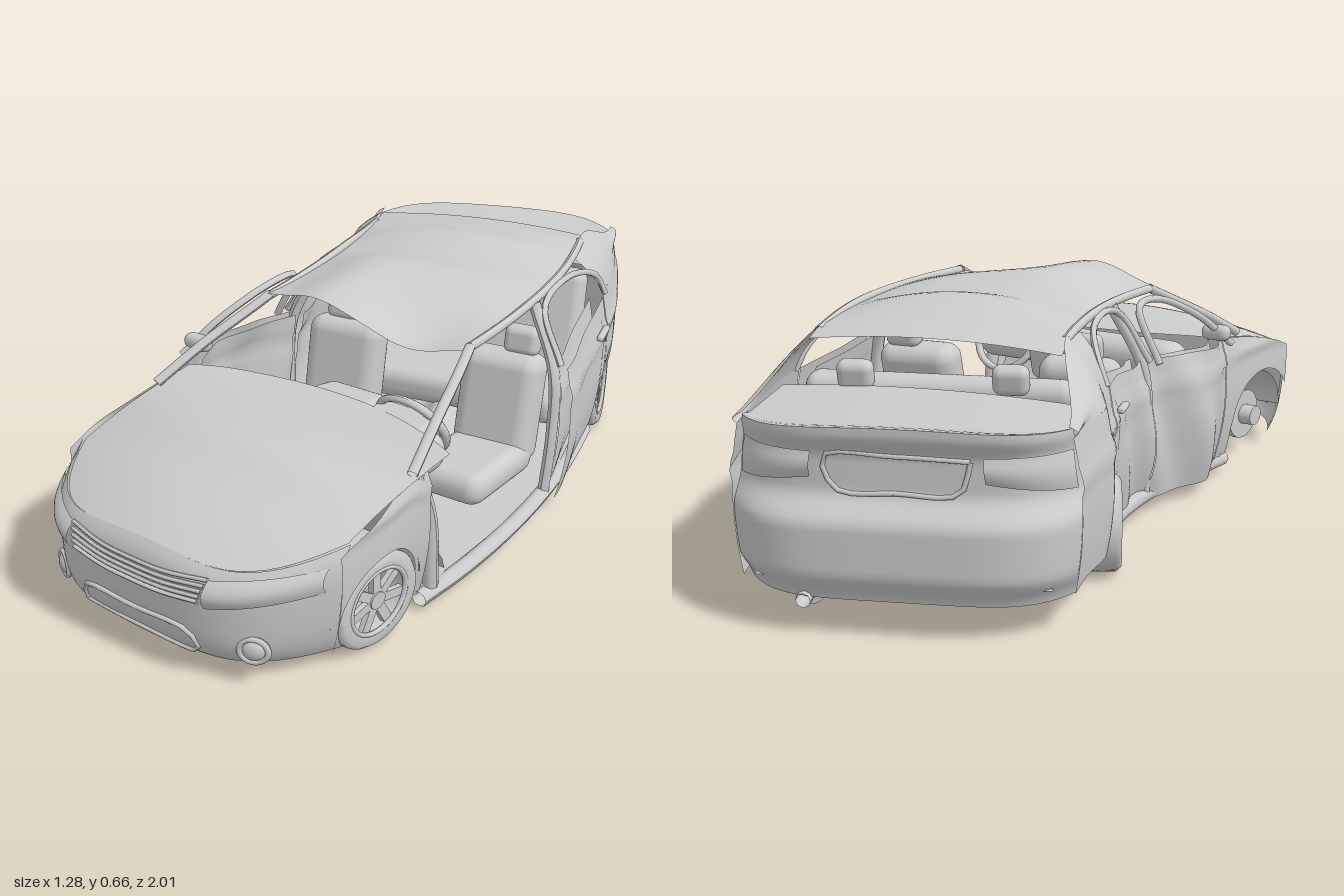
import * as THREE from 'three';
import { mergeVertices } from 'three/addons/utils/BufferGeometryUtils.js';
import { RoundedBoxGeometry } from 'three/addons/geometries/RoundedBoxGeometry.js';
import { ParametricGeometry } from 'three/addons/geometries/ParametricGeometry.js';

const { clamp, lerp, smoothstep } = THREE.MathUtils;
const V = (x, y, z) => new THREE.Vector3(x, y, z);
const bell = (a, c, r) => Math.exp(-(((a - c) / r) ** 2));

// The car is shaped straight, then every vertex follows this sideways bend
function bend(p) {
  const z = p.z, t = clamp((z + 0.55) / 0.9, 0, 1);
  const cx = 0.21 - 0.243 * t * t - 0.54 * Math.max(0, z - 0.35);
  return p.set(cx + p.x * lerp(1, 0.94, t), p.y, z + p.x * 0.38 * t);
}

// Body shape rules
const barrel = y => 1 - 1.4 * (y - 0.27) ** 2;
const halfWidth = z => 0.425 - 0.025 * clamp((-z - 0.5) / 0.4, 0, 1) ** 2;
const frontZ = x => 0.925 - 0.19 * (Math.abs(x) / 0.42) ** 4;
const backZ = x => -1 + 0.115 * (Math.abs(x) / 0.4) ** 5;
const hoodY = (x, z) => {
  const t = clamp((z - 0.36) / 0.55, 0, 1);
  return 0.425 - 0.125 * t ** 3 - 0.085 * t * (x / 0.42) ** 2 + 0.016 * bell(z, 0.6, 0.07) * (1 - (x / 0.42) ** 2);
};
const deckY = (x, v) => 0.468 + 0.016 * (1 - (x / 0.4) ** 2) + 0.012 * smoothstep(v, 0.8, 1);
const beltY = z => z > 0.36 ? hoodY(0.42, z) : 0.425 + 0.04 * clamp((0.36 - z) / 0.9, 0, 1);
const roofY = (x, z) => 0.595 + (1 - (x / 0.315) ** 2) * (0.022 + 0.032 * bell(z, -0.04, 0.12) + 0.032 * bell(z, -0.31, 0.1)
  + 0.045 * bell(x, -0.14, 0.13) * bell(z, 0.15, 0.2)) - 0.045 * bell(x, 0.17, 0.12) * bell(z, 0.24, 0.12)
  - 0.02 * smoothstep(-z, 0.45, 0.6);
const bottomY = (z, s) => {
  let y = z < -0.5 ? 0.1 : 0.04;
  for (const [c, r] of [[-0.5, 0.13], [0.61, s < 0 ? 0.15 : 0.13]]) {
    const d = r * r - (z - c) ** 2;
    if (d > 0) y = Math.max(y, 0.125 + Math.sqrt(d));
  }
  return y;
};
const sideX = (s, z, y) => {
  const dent = s < 0
    ? 0.075 * bell(z, 0.21, 0.14) + 0.012 * Math.sin(z * 28 + y * 14) * bell(z, 0, 0.3) + 0.025 * bell(z, -0.66, 0.09)
    : 0.035 * bell(z, -0.03, 0.13) - 0.02 * bell(z, 0.5, 0.08);
  return s * (halfWidth(z) * barrel(y) + dent + 0.008 * bell(y, 0.36, 0.02));
};
const nosePoint = (x, y, off = 0) => {
  const top = hoodY(x, frontZ(x) - 0.03), v = clamp((y - 0.045) / (top - 0.045), 0, 1);
  return V(x * lerp(1, barrel(y), Math.abs(x) / 0.42), y, frontZ(x) - 0.03 * (2 * v - 1) ** 4 + off);
};
const tailPoint = (x, y, off = 0) => V(x * barrel(y), y, backZ(x) + 0.05 * smoothstep(y, 0.27, 0.34)
  - 0.03 * smoothstep(y, 0.42, 0.475) + 0.04 * smoothstep(-y, -0.16, -0.085) - off);

export function createModel() {
  const model = new THREE.Group();
  const material = new THREE.MeshStandardMaterial({ color: 0xcccccc, side: THREE.DoubleSide });

  function add(name, geo) {
    if (!geo.index) {
      geo.deleteAttribute('normal');
      geo.deleteAttribute('uv');
      geo = mergeVertices(geo, 1e-5);
    }
    const pos = geo.attributes.position, p = V();
    for (let i = 0; i < pos.count; i++) {
      bend(p.fromBufferAttribute(pos, i));
      pos.setXYZ(i, p.x, p.y, p.z);
    }
    geo.computeVertexNormals();
    const mesh = new THREE.Mesh(geo, material);
    mesh.name = name;
    model.add(mesh);
  }
  const loft = (name, f, nu = 24, nv = 12) => add(name, new ParametricGeometry((u, v, t) => t.copy(f(u, v)), nu, nv));
  const tube = (name, r, ...pts) =>
    add(name, new THREE.TubeGeometry(new THREE.CatmullRomCurve3(pts.map(p => V(...p))), 24, r, 8));
  const pad = (name, w, h, d, x, y, z, tilt = 0, r = 0.025) =>
    add(name, new RoundedBoxGeometry(w, h, d, 4, Math.min(r, w / 2.1, h / 2.1, d / 2.1)).rotateX(tilt).translate(x, y, z));
  const both = f => [1, -1].forEach(f);

  // Side skin and inner door trim; the front left door is gone
  const sidePanel = (name, s, z0, z1, inset = 0) => loft(name, (u, v) => {
    const z = lerp(z0, z1, u), y = lerp(bottomY(z, s), beltY(z), v);
    return V(sideX(s, z, y) - s * inset, y, z);
  }, 48, 16);
  both(s => {
    sidePanel('frontFender', s, s > 0 ? 0.45 : 0.385, 0.74);
    sidePanel('rearDoor', s, -0.415, -0.03);
    sidePanel('rearDoorTrim', s, -0.4, -0.04, 0.035);
    sidePanel('rearQuarter', s, -0.89, -0.42);
    // Rear pillar between roof and deck
    loft('rearPillar', (u, v) => {
      const zb = lerp(-0.43, -0.89, u), zt = lerp(-0.37, -0.89, u), e = smoothstep(u, 0.25, 1);
      const b = V(sideX(s, zb, beltY(zb)), beltY(zb), zb), t = V(s * lerp(0.31, 0.37, e), lerp(0.597, 0.49, e), zt);
      return b.lerp(t, v).add(V(s * 0.015 * Math.sin(v * Math.PI), 0, 0));
    }, 20, 8);
    tube('windscreenPillar', 0.013, [s * 0.4, 0.415, 0.5], [s * 0.36, 0.5, 0.37], [s * 0.305, 0.59, 0.2]);
    tube('hingePillar', 0.018, [s * 0.385, 0.4, 0.47], [s * 0.39, 0.25, 0.43], [s * 0.39, 0.05, 0.42]);
    tube('roofRail', 0.012, [s * 0.305, 0.588, 0.2], [s * 0.315, 0.595, 0], [s * 0.32, 0.597, -0.25], [s * 0.31, 0.585, -0.5]);
    tube('centrePillar', 0.016, [s * 0.4, 0.05, -0.02], [s * 0.41, 0.25, -0.03], [s * 0.4, 0.42, -0.04], [s * 0.32, 0.59, -0.07]);
    tube('rearWindowFrame', 0.009, [s * 0.42, 0.44, -0.04], [s * 0.345, 0.575, -0.08],
      [s * 0.34, 0.58, -0.28], [s * 0.38, 0.52, -0.42], [s * 0.405, 0.46, -0.44]);
    tube('sill', 0.022, [s * 0.39, 0.032, 0.46], [s * 0.4, 0.048, 0.2], [s * 0.39, 0.06, -0.35]);
    pad('doorHandle', 0.02, 0.018, 0.08, s * 0.43, 0.385, -0.34, 0, 0.008);
    // Wheel housings
    for (const z of [-0.5, 0.61]) {
      add('wheelHousing', new THREE.CylinderGeometry(0.14, 0.14, 0.16, 24, 1, true, 0, Math.PI)
        .rotateZ(Math.PI / 2).translate(s * 0.32, 0.125, z));
    }
  });
  sidePanel('frontDoor', -1, -0.025, 0.38);
  sidePanel('frontDoorTrim', -1, -0.01, 0.36, 0.035);
  tube('frontWindowFrame', 0.01, [-0.47, 0.42, 0.36], [-0.42, 0.51, 0.27], [-0.37, 0.58, 0.12], [-0.37, 0.57, 0.0], [-0.44, 0.43, -0.02]);
  pad('doorMirror', 0.08, 0.045, 0.045, -0.44, 0.455, 0.33, 0, 0.02);

  // Crumpled roof, folded hood and rear deck
  loft('roof', (u, v) => {
    const x = lerp(-0.315, 0.315, u), z = lerp(0.26, -0.585 + 0.1 * x, v);
    return V(x, roofY(x, z), z - 0.05 * (x / 0.31) ** 2 * (1 - v));
  }, 28, 40);
  loft('hood', (u, v) => {
    const x = lerp(-0.42, 0.42, u), z = lerp(0.31 + 0.08 * (x / 0.42) ** 2, frontZ(x) - 0.03, v);
    return V(x * lerp(1, barrel(0.4), Math.abs(x) / 0.42), hoodY(x, z), z);
  }, 32, 32);
  loft('rearDeck', (u, v) => {
    const x = lerp(-0.4, 0.4, u);
    return V(x * barrel(0.47), deckY(x, v), lerp(-0.62 + 0.1 * x, backZ(x) + 0.02, v));
  }, 24, 24);

  // Nose with grille, lamps and lower intake
  loft('frontBumper', (u, v) => {
    const x = lerp(-0.42, 0.42, u);
    return nosePoint(x, lerp(0.045, hoodY(x, frontZ(x) - 0.03), v));
  }, 40, 20);
  for (let i = 0; i < 5; i++) {
    tube('grilleSlat', 0.005, ...[-0.21, -0.1, 0, 0.1, 0.21].map(x =>
      nosePoint(x * (1 - 0.02 * (4 - i)), 0.208 + i * 0.014 + 0.25 * x * x, 0.004).toArray()));
  }
  const intake = [[-0.18, 0.07], [-0.165, 0.125], [0, 0.13], [0.165, 0.125], [0.18, 0.07], [0, 0.068], [-0.18, 0.07]];
  tube('intakeFrame', 0.006, ...intake.map(([x, y]) => nosePoint(x, y, 0.002).toArray()));
  both(s => {
    loft('headlight', (u, v) => {
      const x = lerp(0.21, 0.405, u);
      return nosePoint(s * x, lerp(lerp(0.205, 0.24, u), lerp(0.275, 0.3, u), v), 0.004 + 0.012 * Math.sin(v * Math.PI));
    }, 14, 8);
    const fog = nosePoint(s * 0.31, 0.1, 0.006);
    add('fogLampRing', new THREE.TorusGeometry(0.032, 0.007, 8, 28).rotateY(s * 0.4).translate(fog.x, fog.y, fog.z));
    add('fogLamp', new THREE.SphereGeometry(0.026, 20, 12).scale(1, 1, 0.5).rotateY(s * 0.4).translate(fog.x, fog.y, fog.z));
    loft('tailLight', (u, v) => tailPoint(s * lerp(0.2, 0.39, u), lerp(lerp(0.37, 0.34, u), 0.43, v), 0.004 + 0.01 * Math.sin(v * Math.PI)), 12, 8);
  });

  // Tail
  loft('tailAndBumper', (u, v) => {
    const x = lerp(-0.4, 0.4, u);
    return tailPoint(x, lerp(0.085, deckY(x, 1), v));
  }, 40, 28);
  const plate = [[-0.17, 0.42], [0, 0.425], [0.17, 0.42], [0.14, 0.345], [0, 0.34], [-0.14, 0.345], [-0.17, 0.42]];
  tube('plateRecessFrame', 0.006, ...plate.map(([x, y]) => tailPoint(x, y, 0.002).toArray()));

  // Underside
  loft('floor', (u, v) => {
    const x = lerp(-0.39, 0.39, u), z = lerp(0.44, -0.42, v);
    return V(x, 0.055 + 0.07 * bell(x, 0, 0.05) + 0.065 * smoothstep(-z, 0.05, 0.3), z);
  }, 40, 20);
  loft('ribbedTrunkFloor', (u, v) => {
    const x = lerp(-0.34, 0.34, u);
    return V(x, 0.125 + 0.01 * Math.sin(x * 75) * smoothstep(0.26 - Math.abs(x), 0, 0.03), lerp(-0.42, -0.94, v));
  }, 64, 6);
  loft('toeBoard', (u, v) => V(lerp(-0.37, 0.37, u), lerp(0.055, 0.41, v), 0.35 + 0.12 * smoothstep(v, 0, 0.6)), 12, 12);
  pad('engineBlock', 0.4, 0.2, 0.2, 0, 0.18, 0.68);
  for (let i = 0; i < 6; i++) pad('engineRib', 0.03, 0.05, 0.22, -0.16 + i * 0.064, 0.075, 0.68, 0, 0.01);
  tube('rearAxle', 0.022, [-0.36, 0.12, -0.5], [0, 0.1, -0.48], [0.36, 0.12, -0.5]);
  tube('frontAxle', 0.02, [-0.36, 0.12, 0.61], [0, 0.1, 0.6], [0.36, 0.12, 0.61]);
  tube('exhaustPipe', 0.016, [0, 0.075, 0.5], [0, 0.07, -0.3], [0.05, 0.08, -0.6], [0.2, 0.085, -0.78]);
  add('muffler', new THREE.CylinderGeometry(0.04, 0.04, 0.2, 20).rotateX(Math.PI / 2).translate(0.22, 0.09, -0.82));
  tube('exhaustTip', 0.018, [0.22, 0.085, -0.9], [0.22, 0.08, -0.97]);

  // Wheels: the front right one is torn off, leaving its brake disc
  const tyre = [[0.088, -0.055], [0.112, -0.058], [0.123, -0.045], [0.125, 0], [0.123, 0.045], [0.112, 0.058], [0.088, 0.055], [0.083, 0.045], [0.083, -0.045], [0.088, -0.055]];
  const disc = (r, w) => new THREE.CylinderGeometry(r, r, w, 32).rotateZ(Math.PI / 2);
  for (const [s, x, z, toe] of [[1, 0.355, 0.61, 0], [1, 0.355, -0.5, 0], [-1, -0.39, -0.5, 0.12]]) {
    const part = (name, geo, out) => add(name, geo.translate(s * out, 0, 0).rotateY(toe).translate(x, 0.125, z));
    part('tyre', new THREE.LatheGeometry(tyre.map(p => new THREE.Vector2(...p)), 40).rotateZ(Math.PI / 2), 0);
    part('rim', new THREE.TorusGeometry(0.085, 0.006, 8, 40).rotateY(Math.PI / 2), 0.052);
    part('brakeDisc', disc(0.06, 0.012), 0);
    part('wheelHub', disc(0.022, 0.03), 0.036);
    for (let i = 0; i < 7; i++) {
      part('spoke', new THREE.BoxGeometry(0.014, 0.07, 0.024).translate(0, 0.05, 0).rotateX(i * Math.PI * 2 / 7), 0.04);
    }
  }
  add('bareBrakeDisc', disc(0.075, 0.015).translate(-0.36, 0.125, 0.61));
  add('bareHub', disc(0.03, 0.05).translate(-0.38, 0.125, 0.61));

  // Cabin
  both(s => {
    const x = s > 0 ? 0.25 : -0.23;
    pad('seatCushion', 0.23, 0.09, 0.27, x, 0.175, 0.1, -0.1, 0.04);
    pad('seatBack', 0.23, 0.31, 0.1, x, 0.29, -0.04, -0.2, 0.045);
    pad('headrest', 0.1, 0.08, 0.05, s > 0 ? 0.29 : -0.25, 0.472, -0.08, -0.15, 0.022);
    pad('rearHeadrest', 0.09, 0.075, 0.05, s * 0.19, 0.505, -0.59, -0.2, 0.022);
  });
  pad('rearBenchCushion', 0.7, 0.1, 0.24, 0, 0.19, -0.31, 0, 0.04);
  pad('rearBenchBack', 0.68, 0.33, 0.08, 0, 0.33, -0.48, -0.28, 0.04);
  pad('centreConsole', 0.09, 0.12, 0.4, 0, 0.15, 0.15, 0, 0.02);
  pad('centreStack', 0.2, 0.14, 0.1, 0, 0.34, 0.27, -0.2, 0.03);
  pad('dashboard', 0.66, 0.11, 0.12, 0, 0.35, 0.34, 0, 0.05);
  pad('instrumentHood', 0.18, 0.04, 0.08, 0.2, 0.405, 0.31, 0.2, 0.018);
  add('steeringWheel', new THREE.TorusGeometry(0.095, 0.01, 10, 36).rotateX(0.4).translate(0.2, 0.375, 0.27));
  pad('steeringHub', 0.06, 0.05, 0.03, 0.2, 0.375, 0.275, 0.4, 0.012);
  pad('steeringSpokes', 0.18, 0.018, 0.012, 0.2, 0.375, 0.272, 0.4, 0.005);
  tube('steeringColumn', 0.018, [0.2, 0.37, 0.28], [0.2, 0.33, 0.37]);
  return model;
}
